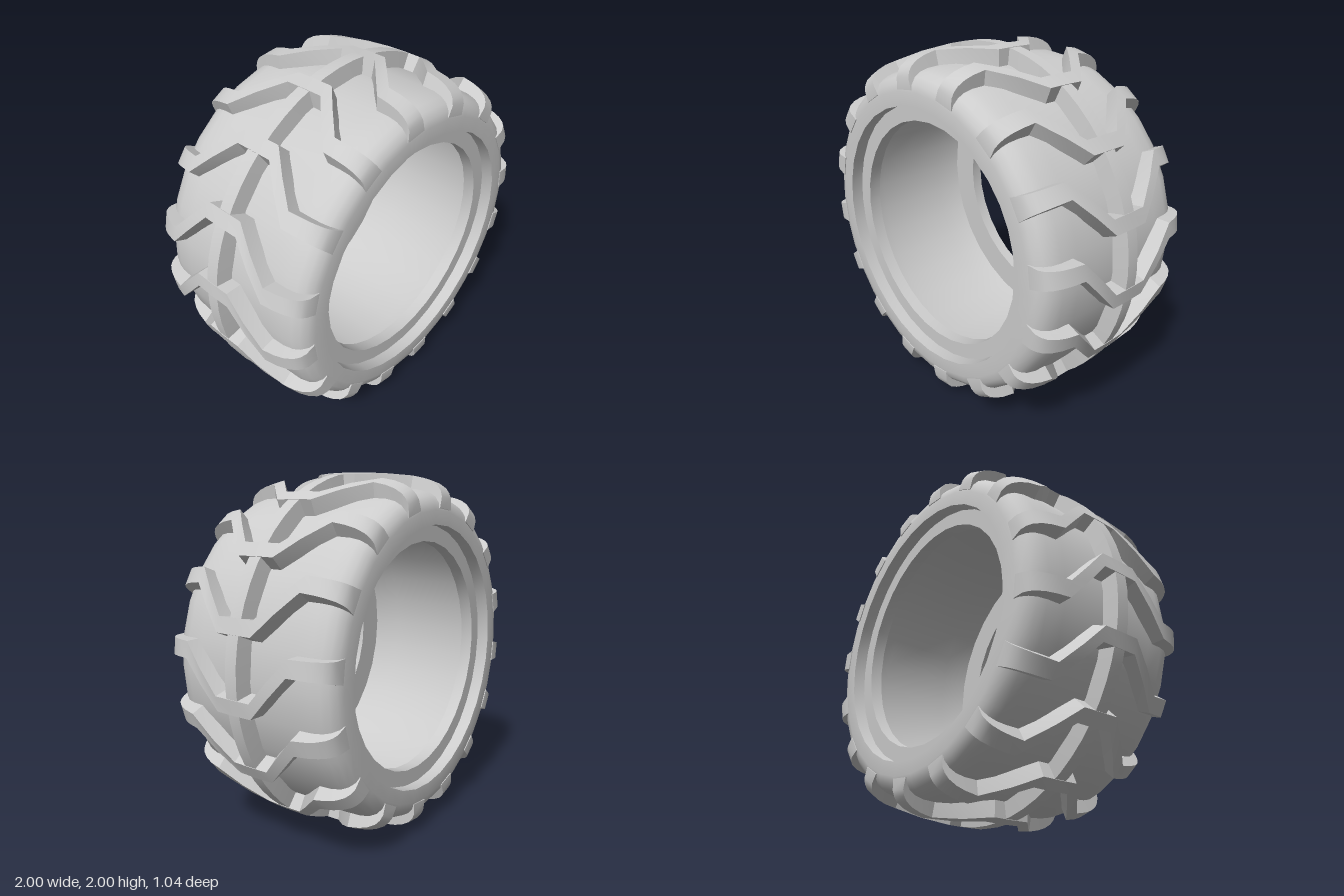
import * as THREE from 'three';
import { toCreasedNormals } from 'three/addons/utils/BufferGeometryUtils.js';

const DEG = Math.PI / 180;
const LUGS = 16;

// Ring turned around the z axis from [z, radius] points
function ring(points, segments) {
  const profile = points.map(([z, r]) => new THREE.Vector2(r, z));
  const geo = new THREE.LatheGeometry(profile, segments);
  geo.rotateX(Math.PI / 2);
  return toCreasedNormals(geo, 0.65);
}

// Mirror half of a profile to the other side of z = 0
const mirrored = (half) => half.map(([z, ...rest]) => [-z, ...rest]).reverse();

// One full-width chevron lug swept through cross-sections along z
function lugGeometry() {
  // z, centre angle, top radius, base radius, top and base half-angles
  const half = [
    [0.0, 15.9, 1.0, 0.88, 2.3, 3.6],
    [0.11, 15.9, 0.998, 0.88, 2.3, 3.6],
    [0.22, 22.8, 0.991, 0.88, 2.4, 3.6],
    [0.33, 29.7, 0.982, 0.88, 2.5, 3.7],
    [0.40, 29.7, 0.968, 0.87, 2.6, 3.8],
    [0.45, 29.7, 0.95, 0.85, 2.7, 3.9],
    [0.49, 29.7, 0.925, 0.83, 2.9, 4.1],
    [0.51, 29.7, 0.9, 0.81, 3.1, 4.3],
    [0.522, 29.7, 0.87, 0.81, 3.4, 4.3],
  ];
  const stations = [...mirrored(half.slice(1)), ...half];
  const positions = [];
  for (const [z, angle, top, base, topHalf, baseHalf] of stations) {
    const corners = [[base, -baseHalf], [top, -topHalf], [top, topHalf], [base, baseHalf]];
    for (const [r, offset] of corners) {
      const a = (angle + offset) * DEG;
      positions.push(r * Math.cos(a), r * Math.sin(a), z);
    }
  }
  const index = [];
  const last = (stations.length - 1) * 4;
  for (let s = 0; s < last; s += 4) {
    for (let i = 0; i < 4; i++) {
      const j = (i + 1) % 4;
      index.push(s + i, s + j, s + 4 + j, s + i, s + 4 + j, s + 4 + i);
    }
  }
  index.push(0, 2, 1, 0, 3, 2, last, last + 1, last + 2, last, last + 2, last + 3);
  const geo = new THREE.BufferGeometry();
  geo.setAttribute('position', new THREE.Float32BufferAttribute(positions, 3));
  geo.setIndex(index);
  return toCreasedNormals(geo, 0.5);
}

export function createModel() {
  const model = new THREE.Group();
  model.name = 'tire';
  const rubber = new THREE.MeshStandardMaterial({ color: 0xcccccc });
  rubber.name = 'light grey rubber';

  const add = (name, geometry, parent = model) => {
    const mesh = new THREE.Mesh(geometry, rubber);
    mesh.name = name;
    parent.add(mesh);
    return mesh;
  };

  // Carcass: tread base, rounded shoulders, sidewalls, stepped beads, hollow inside
  const outer = [
    [0, 0.915], [0.3, 0.912], [0.40, 0.906], [0.45, 0.893],
    [0.485, 0.872], [0.51, 0.84], [0.52, 0.8], [0.52, 0.725],
  ];
  const inner = [
    [0.45, 0.725], [0.45, 0.637], [0.38, 0.637], [0.38, 0.81], [0.22, 0.84], [0, 0.84],
  ];
  const side = [...outer, ...inner];
  // The +z half runs outside to inside, the -z half returns to the start
  add('carcass', ring([...side, ...mirrored(side).slice(1)], 32));

  // Centre rib around the tread
  add('centreRib', ring([[-0.048, 0.9], [-0.036, 0.998], [0.036, 0.998], [0.048, 0.9]], 64));

  // Chevron lugs
  const lugs = new THREE.Group();
  lugs.name = 'treadLugs';
  const lug = lugGeometry();
  for (let i = 0; i < LUGS; i++) {
    add('treadLug', lug, lugs).rotation.z = (i * 2 * Math.PI) / LUGS;
  }
  model.add(lugs);

  // Stand on y = 0
  for (const part of model.children) part.position.y = 1;
  return model;
}
